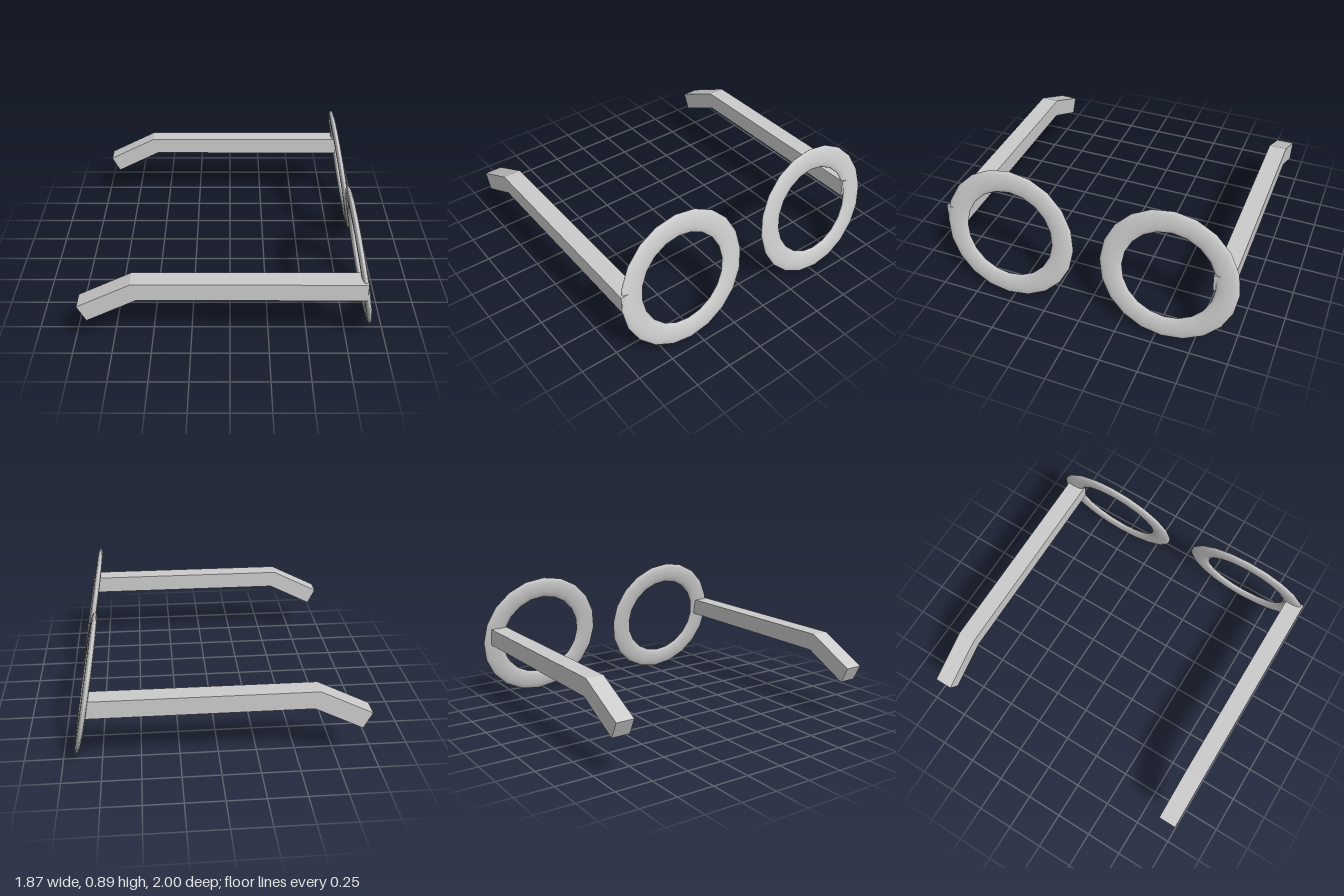
import * as THREE from 'three';

const material = new THREE.MeshStandardMaterial({ color: 0xcccccc });

// Flattened ring, facing +x and leaning back at the top
function makeRim(name, z) {
  const geometry = new THREE.TorusGeometry(0.38, 0.075, 16, 20);
  geometry.scale(1, 1, 0.02 / 0.075);
  geometry.computeVertexNormals();
  // weld shading across the seams by using the analytic torus normals
  const reference = new THREE.TorusGeometry(0.38, 0.075, 16, 20);
  reference.scale(1, 1, 0.02 / 0.075);
  geometry.setAttribute('normal', reference.getAttribute('normal'));
  geometry.rotateY(Math.PI / 2);
  const rim = new THREE.Mesh(geometry, material);
  rim.name = name;
  rim.rotation.z = 0.19;
  rim.position.set(0.837, 0.448, z);
  return rim;
}

// Square bar with a bent-down ear hook, extruded across its width
function makeTemple(name, zMin, width) {
  const outline = new THREE.Shape([
    [0.835, 0.43], [0.835, 0.55], [-0.603, 0.55],
    [-0.94, 0.38], [-0.886, 0.272], [-0.575, 0.43],
  ].map(([x, y]) => new THREE.Vector2(x, y)));
  const geometry = new THREE.ExtrudeGeometry(outline, { depth: width, bevelEnabled: false });
  const temple = new THREE.Mesh(geometry, material);
  temple.name = name;
  temple.position.z = zMin;
  return temple;
}

export function createModel() {
  const model = new THREE.Group();
  model.name = 'eyeglasses';
  model.add(
    makeRim('nearRim', 0.545),
    makeRim('farRim', -0.545),
    makeTemple('nearTemple', 0.875, 0.122),
    makeTemple('farTemple', -0.95, 0.12),
  );
  return model;
}
